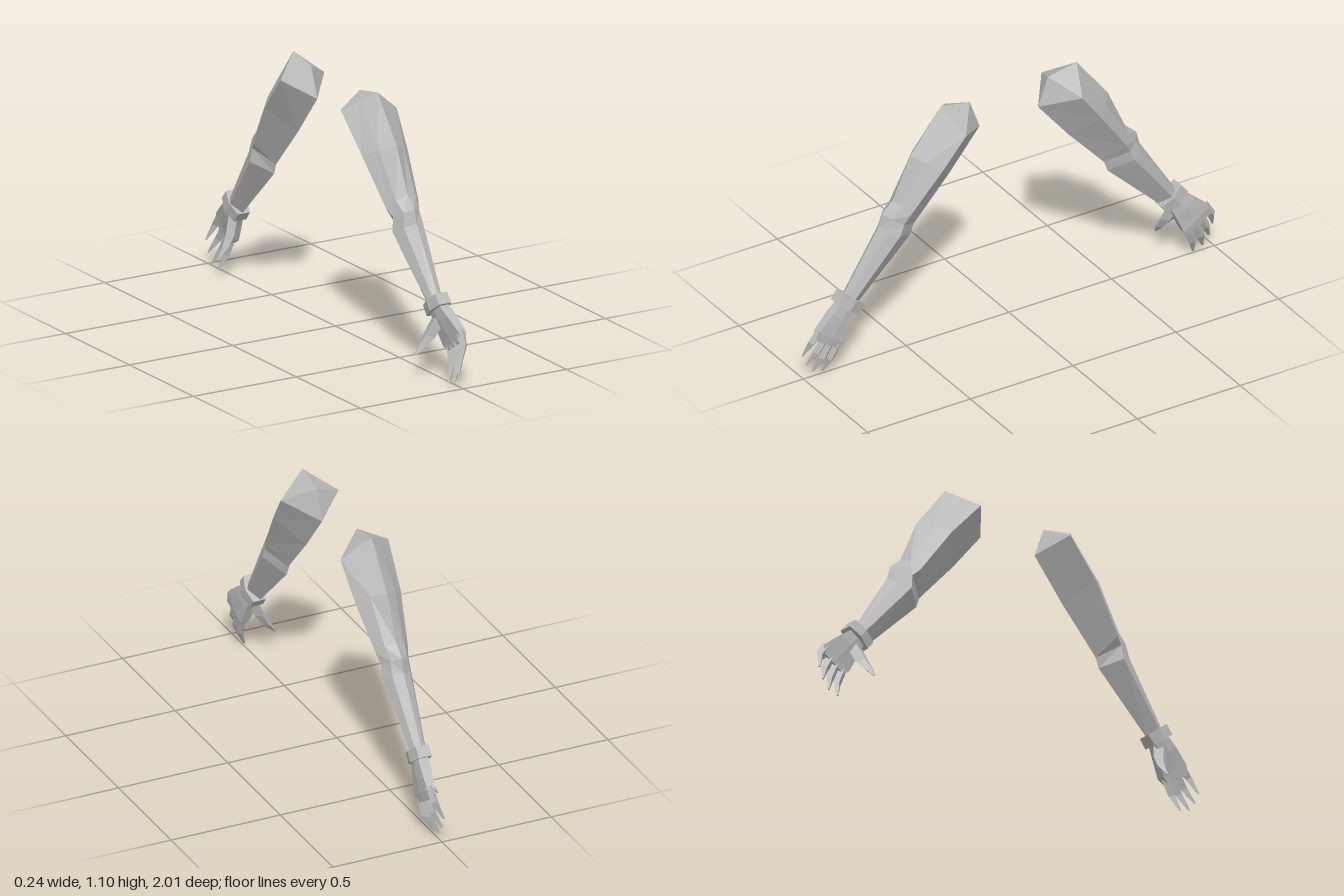
import * as THREE from 'three';

const skin = new THREE.MeshStandardMaterial({ color: 0xb8b8b8 });
skin.name = 'plain grey';

// Cross-section outlines as [across, thickness] factors
const HEX = [[0.75, 0.8], [0, 1], [-0.75, 0.8], [-0.75, -0.8], [0, -1], [0.75, -0.8]];
const DIAMOND = [[1, 0], [0, 1], [-1, 0], [0, -1]];
const CUFF = [[1, 0.65], [0, 1], [-1, 0.65], [-1, -0.65], [0, -1], [1, -0.65]];

// Skins a list of rings into a closed, faceted surface; side is +1 or -1 along z
function loft(name, rings, side, startTip) {
  const pos = [];
  const tri = (a, b, c) => {
    for (const p of side > 0 ? [a, b, c] : [a, c, b]) pos.push(p[0], p[1], p[2] * side);
  };
  const centre = (ring) => [0, 1, 2].map((k) => ring.reduce((s, p) => s + p[k], 0) / ring.length);
  const n = rings[0].length;
  const last = rings[rings.length - 1];
  const start = startTip || centre(rings[0]);
  const end = centre(last);
  for (let i = 0; i < n; i++) {
    const j = (i + 1) % n;
    tri(start, rings[0][i], rings[0][j]);
    tri(end, last[j], last[i]);
    for (let r = 0; r < rings.length - 1; r++) {
      const A = rings[r], B = rings[r + 1];
      tri(A[i], B[i], A[j]);
      tri(A[j], B[i], B[j]);
    }
  }
  const g = new THREE.BufferGeometry();
  g.setAttribute('position', new THREE.Float32BufferAttribute(pos, 3));
  g.computeVertexNormals();
  const mesh = new THREE.Mesh(g, skin);
  mesh.name = name;
  return mesh;
}

// Rings along a path of [x, y, z, half width, half thickness]
function sweep(path, outline) {
  return path.map(([x, y, z, w, t], i) => {
    const a = path[Math.max(i - 1, 0)], b = path[Math.min(i + 1, path.length - 1)];
    const len = Math.hypot(b[1] - a[1], b[2] - a[2]);
    const qy = (b[2] - a[2]) / len, qz = -(b[1] - a[1]) / len;
    return outline.map(([u, v]) => [x + v * t, y + u * w * qy, z + u * w * qz]);
  });
}

// Arm stations: outer ridge, left ridge, inner ridge, right ridge, corner fullness
const ARM = [
  [[0, 1.106, 0.33], [0.121, 1.008, 0.283], [0, 0.95, 0.142], [-0.121, 1.025, 0.235], 1],
  [[0, 0.913, 0.48], [0.108, 0.87, 0.385], [0, 0.77, 0.29], [-0.108, 0.865, 0.38], 1.08],
  [[0, 0.726, 0.565], [0.077, 0.68, 0.525], [0, 0.59, 0.455], [-0.076, 0.665, 0.52], 1.2],
  [[0, 0.678, 0.619], [0.064, 0.635, 0.55], [0, 0.578, 0.465], [-0.062, 0.637, 0.55], 1.2],
  [[0, 0.619, 0.635], [0.07, 0.592, 0.57], [0, 0.535, 0.48], [-0.07, 0.575, 0.56], 1.25],
  [[0, 0.335, 0.815], [0.037, 0.315, 0.785], [0, 0.28, 0.745], [-0.032, 0.315, 0.785], 1.25],
];

// Adds the two bevel points beside the outer ridge
function armRing([outer, left, inner, right, full]) {
  const mid = [0, (outer[1] + inner[1]) / 2, (outer[2] + inner[2]) / 2];
  const bevel = (p) => mid.map((m, k) => m + ((outer[k] + p[k]) / 2 - m) * full);
  return [outer, bevel(left), left, inner, right, bevel(right)];
}

// Fingers: knuckle, middle joint and tip as [y, z]
const FINGERS = {
  littleFinger: [[0.235, 0.93], [0.18, 0.972], [0.11, 0.998]],
  ringFinger: [[0.2, 0.905], [0.125, 0.948], [0.06, 0.98]],
  middleFinger: [[0.175, 0.88], [0.09, 0.92], [0.02, 0.95]],
  indexFinger: [[0.15, 0.853], [0.075, 0.883], [0.006, 0.903]],
};

function buildArm(side) {
  const arm = new THREE.Group();
  arm.name = side > 0 ? 'frontArm' : 'backArm';

  arm.add(loft('armAndForearm', ARM.map(armRing), side, [0, 1.08, 0.19]));

  arm.add(loft('wristCuff', sweep([
    [0.005, 0.333, 0.772, 0.061, 0.044],
    [0.005, 0.294, 0.803, 0.061, 0.046],
  ], CUFF), side));

  arm.add(loft('palm', sweep([
    [0.005, 0.31, 0.79, 0.05, 0.028],
    [0.015, 0.255, 0.838, 0.075, 0.029],
    [0.026, 0.19, 0.888, 0.102, 0.022],
    [0.026, 0.16, 0.908, 0.085, 0.017],
  ], HEX), side));

  const hand = new THREE.Group();
  hand.name = 'fingers';
  for (const [name, [k, m, t]] of Object.entries(FINGERS)) {
    hand.add(loft(name, sweep([
      [0.027, ...k, 0.024, 0.02],
      [0.02, ...m, 0.019, 0.016],
      [-0.01, ...t, 0.005, 0.005],
    ], DIAMOND), side));
  }
  arm.add(hand);

  arm.add(loft('thumb', sweep([
    [0.005, 0.265, 0.81, 0.04, 0.022],
    [-0.025, 0.19, 0.785, 0.036, 0.022],
    [-0.055, 0.145, 0.772, 0.024, 0.017],
    [-0.09, 0.104, 0.772, 0.006, 0.004],
  ], DIAMOND), side));
  return arm;
}

export function createModel() {
  const model = new THREE.Group();
  model.name = 'pairOfArms';
  model.add(buildArm(1), buildArm(-1));
  return model;
}
